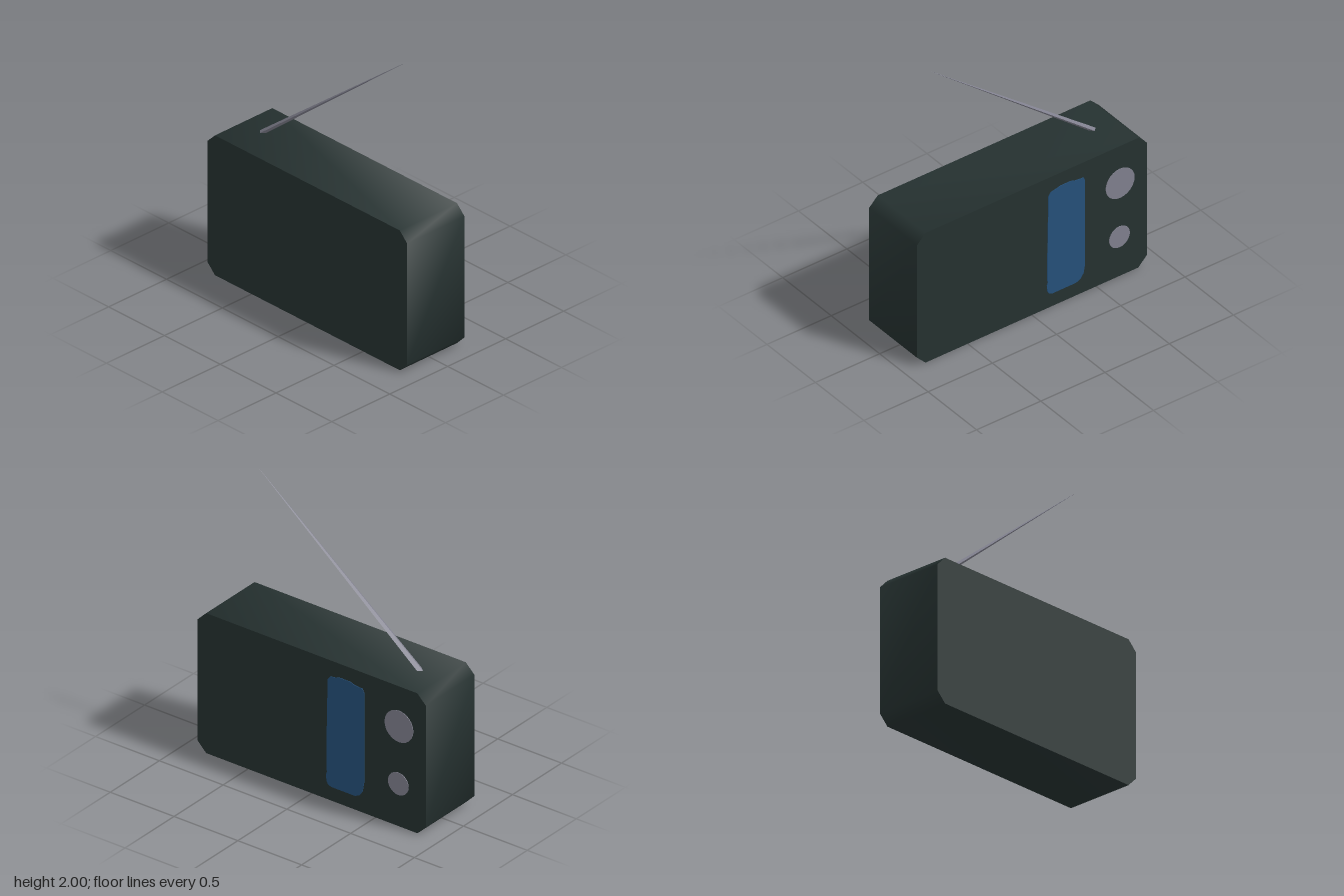
import * as THREE from 'three';
import { toCreasedNormals } from 'three/addons/utils/BufferGeometryUtils.js';

const paint = (name, color) => new THREE.MeshStandardMaterial({ name, color });

export function createModel() {
  const casing = paint('dark casing', 0x253130);
  const blue = paint('blue dial', 0x25507a);
  const grey = paint('grey metal', 0x80808e);

  const radio = new THREE.Group();
  radio.name = 'radio';
  const add = (name, geometry, material) => {
    const mesh = new THREE.Mesh(geometry, material);
    mesh.name = name;
    radio.add(mesh);
    return mesh;
  };

  // Outlines are drawn in the side plane (u = -z, y) and extruded along +x
  const slab = (shape, x0, x1) =>
    new THREE.ExtrudeGeometry(shape, { depth: x1 - x0, bevelEnabled: false, curveSegments: 12 })
      .translate(0, 0, x0)
      .rotateY(Math.PI / 2);
  const polygon = (pts) => new THREE.Shape(pts.map(([u, y]) => new THREE.Vector2(u, y)));

  // Body: a box with chamfered ends, softly shaded around its rim
  const L = 0.895, c = 0.067;
  const outline = polygon([
    [-L + c, 0], [L - c, 0], [L, c], [L, 1 - c],
    [L - c, 1], [-L + c, 1], [-L, 1 - c], [-L, c],
  ]);
  add('body', toCreasedNormals(slab(outline, -0.248, 0.246), Math.PI / 3), casing);

  // Tuning dial: an upright strip with slightly uneven rounded ends
  const dial = polygon([
    [0.155, 0.1], [0.34, 0.1], [0.375, 0.115], [0.4, 0.15], [0.412, 0.22],
    [0.412, 0.86], [0.4, 0.885], [0.34, 0.89], [0.3, 0.902], [0.22, 0.902],
    [0.19, 0.893], [0.145, 0.885], [0.127, 0.86], [0.12, 0.5], [0.117, 0.22],
    [0.122, 0.2], [0.115, 0.18], [0.117, 0.135], [0.13, 0.11],
  ]);
  add('dial', slab(dial, 0.244, 0.25), blue);

  // Knobs: thin discs
  for (const [name, u, y, r] of [['upperKnob', 0.685, 0.715, 0.112], ['lowerKnob', 0.68, 0.304, 0.08]]) {
    const disc = new THREE.Shape().absarc(u, y, r, 0, Math.PI * 2);
    add(name, slab(disc, 0.244, 0.25), grey);
  }

  // Aerial: a four-sided spike leaning forward from the rear of the top
  const base = new THREE.Vector3(0, 0.985, -0.674);
  const tip = new THREE.Vector3(0, 2, 0.6);
  const dir = tip.clone().sub(base);
  const spike = new THREE.CylinderGeometry(0.001, 0.025, dir.length(), 4)
    .toNonIndexed()
    .scale(1, 1, 0.65);
  spike.computeVertexNormals();
  const aerial = add('aerial', spike, grey);
  aerial.position.copy(base).add(tip).multiplyScalar(0.5);
  aerial.quaternion.setFromUnitVectors(new THREE.Vector3(0, 1, 0), dir.normalize());

  return radio;
}
